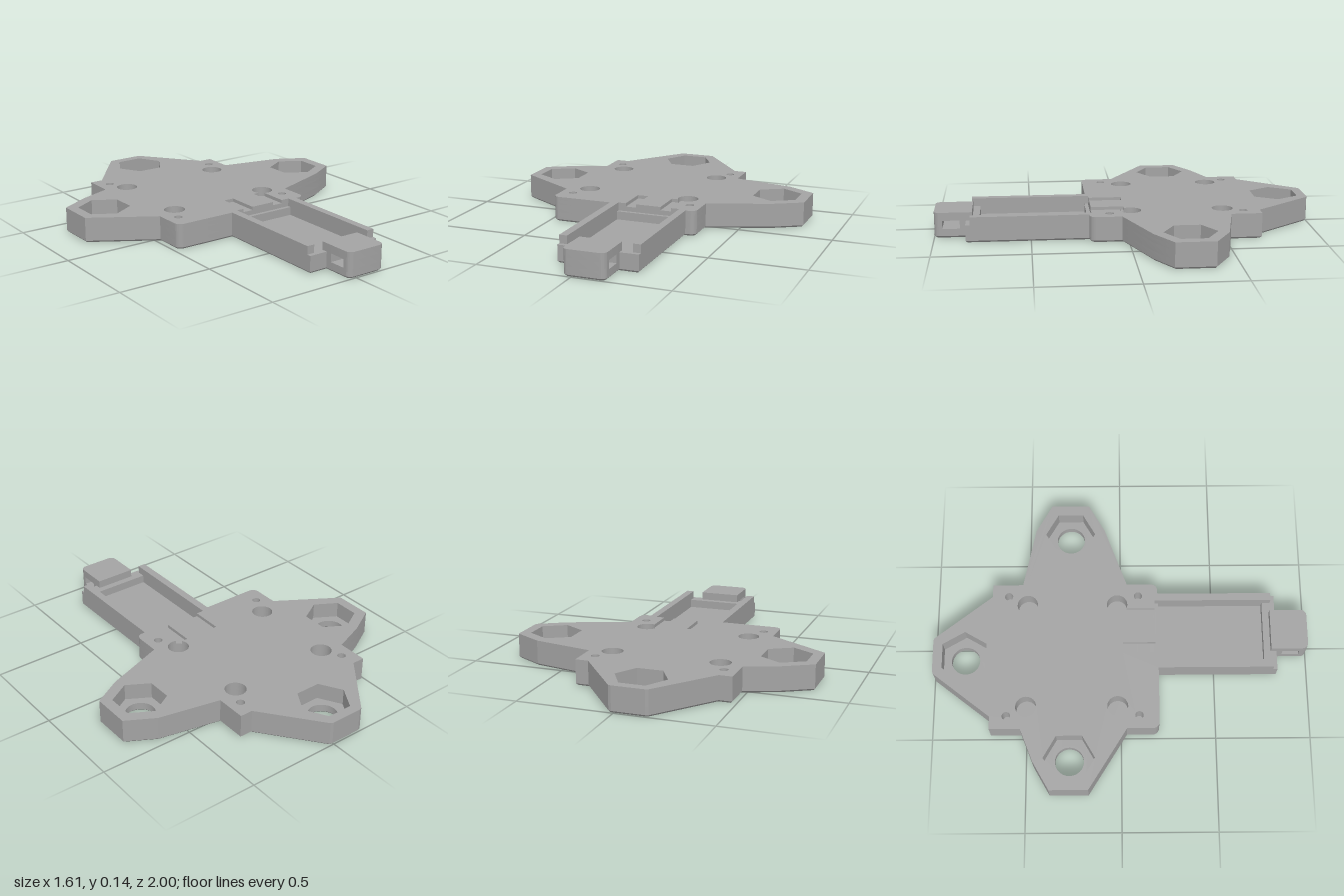
import * as THREE from 'three';
import { toCreasedNormals } from 'three/addons/utils/BufferGeometryUtils.js';

// Heights of the stacked layers
const FLOOR = 0.048, SHELF = 0.092, CHANNEL = 0.117, TOP = 0.135;

// Points [x, z] along an arc; angles measured from +x towards +z
function arc(cx, cz, r, a0, a1, n) {
  const pts = [];
  for (let i = 0; i <= n; i++) {
    const a = a0 + (a1 - a0) * i / n;
    pts.push([cx + r * Math.cos(a), cz + r * Math.sin(a)]);
  }
  return pts;
}
const circle = (x, z, r, n = 48, turn = 0) => arc(x, z, r, turn, turn + Math.PI * 2, n).slice(0, -1);
const rect = (x0, z0, x1, z1) => [[x0, z0], [x1, z0], [x1, z1], [x0, z1]];
const toVectors = (pts) => pts.map(([x, z]) => new THREE.Vector2(x, -z));

// Slab with a plan outline and holes between two heights; optional chamfered bottom edge
function slab(outline, holes, y0, y1, chamfer = 0) {
  const shape = new THREE.Shape(toVectors(outline));
  for (const h of holes) shape.holes.push(new THREE.Path(toVectors(h)));
  const depth = y1 - y0 - chamfer;
  const geo = new THREE.ExtrudeGeometry(shape, {
    depth, bevelEnabled: chamfer > 0, bevelThickness: chamfer,
    bevelSize: chamfer, bevelOffset: -chamfer, bevelSegments: 1
  });
  if (chamfer > 0) {
    // keep only the lower chamfer: flatten the upper one
    const p = geo.attributes.position;
    for (let i = 0; i < p.count; i++) p.setZ(i, Math.min(p.getZ(i), depth));
  }
  geo.rotateX(-Math.PI / 2);
  geo.translate(0, y0 + chamfer, 0);
  return toCreasedNormals(geo, 0.22);
}

// Plate edge, from the front left corner around the back to the front right corner
const plateEdge = [
  ...arc(0.295, 0.165, 0.035, Math.PI / 2, 0, 6),
  [0.33, 0.035], [0.655, -0.085], [0.805, -0.172], [0.805, -0.375], [0.655, -0.46],
  [0.33, -0.528], [0.33, -0.69], [0.262, -0.69], [0.025, -0.995], [0.01, -1],
  [-0.16, -1], [-0.175, -0.995], [-0.412, -0.69], [-0.48, -0.69], [-0.48, -0.528],
  [-0.655, -0.46], [-0.805, -0.375], [-0.805, -0.172], [-0.48, 0.03],
  ...arc(-0.445, 0.165, 0.035, Math.PI, Math.PI / 2, 6)
];
const AX0 = -0.147, AX1 = 0.275;       // arm sides
const PX0 = -0.105, PX1 = 0.235;       // pocket sides
const TX0 = -0.045, TX1 = 0.175;       // end loop sides
const tongueFront = [
  ...arc(TX0 + 0.03, 0.97, 0.03, Math.PI, Math.PI / 2, 6),
  ...arc(TX1 - 0.03, 0.97, 0.03, Math.PI / 2, 0, 6)
];

export function createModel() {
  const group = new THREE.Group();
  const grey = new THREE.MeshStandardMaterial({ color: 0xa3a3a3 });
  grey.name = 'grey';
  const add = (name, geo) => {
    const mesh = new THREE.Mesh(geo, grey);
    mesh.name = name;
    group.add(mesh);
  };

  // Bolt holes, nut pockets and blind holes
  const bolts = [[-0.075, -0.833, 0], [-0.635, -0.272, Math.PI / 6], [0.633, -0.272, Math.PI / 6]];
  const through = bolts.map(([x, z]) => circle(x, z, 0.076));
  const nuts = bolts.map(([x, z, turn]) => circle(x, z, 0.135, 6, turn));
  const pins = [];
  for (const x of [-0.41, 0.262]) for (const z of [-0.602, 0.095]) pins.push(circle(x, z, 0.022, 24));
  const magnets = [[-0.36, -0.5], [0.212, -0.5], [-0.36, -0.018]].map(([x, z]) => circle(x, z, 0.055));
  const lastMagnet = circle(0.212, -0.018, 0.055);
  const recesses = [...nuts, ...pins, ...magnets];

  // Base, including arm and end loop floor
  add('base', slab([
    ...plateEdge, [AX0, 0.2], [AX0, 0.835], [TX0, 0.835],
    ...tongueFront, [TX1, 0.835], [AX1, 0.835], [AX1, 0.2]
  ], through, 0, FLOOR, 0.01));

  // Middle of the plate and arm, with the long pocket
  add('lowerBody', slab([
    ...plateEdge, [AX0, 0.2], [AX0, 0.835], [TX0, 0.835], [TX0, 0.867],
    [TX1, 0.867], [TX1, 0.835], [AX1, 0.835], [AX1, 0.2]
  ], [...recesses, lastMagnet, rect(PX0, 0.205, PX1, 0.767)], FLOOR, SHELF));

  // Upper plate with the two arm rails, open at the pocket
  const rails = (inner) => [
    ...plateEdge, [AX0, 0.2], [AX0, 0.812], [PX0, 0.812], [PX0, 0.185],
    ...inner, [PX1, 0.185], [PX1, 0.812], [AX1, 0.812], [AX1, 0.2]
  ];
  add('upperBody', slab(rails([]), [...recesses, lastMagnet], SHELF, CHANNEL));

  // Top skin with two wire channels; the second one runs into a blind hole
  const start = Math.atan2(0.03, -0.046), end = Math.atan2(0.051, -0.022) + Math.PI * 2;
  add('topSkin', slab(rails([
    [-0.063, 0.185], [-0.063, 0.012], [-0.005, 0.012], [-0.005, 0.185],
    [0.132, 0.185], [0.132, 0.012], ...arc(0.212, -0.018, 0.055, start, end, 44), [0.19, 0.185]
  ]), recesses, CHANNEL, TOP));

  // End loop: front wall and bridge over the strap slot
  add('loopFront', slab([[TX0, 0.957], ...tongueFront, [TX1, 0.957]], [], FLOOR, SHELF));
  add('loopBridge', slab([[TX0, 0.803], ...tongueFront, [TX1, 0.803]], [], SHELF, TOP));

  return group;
}
